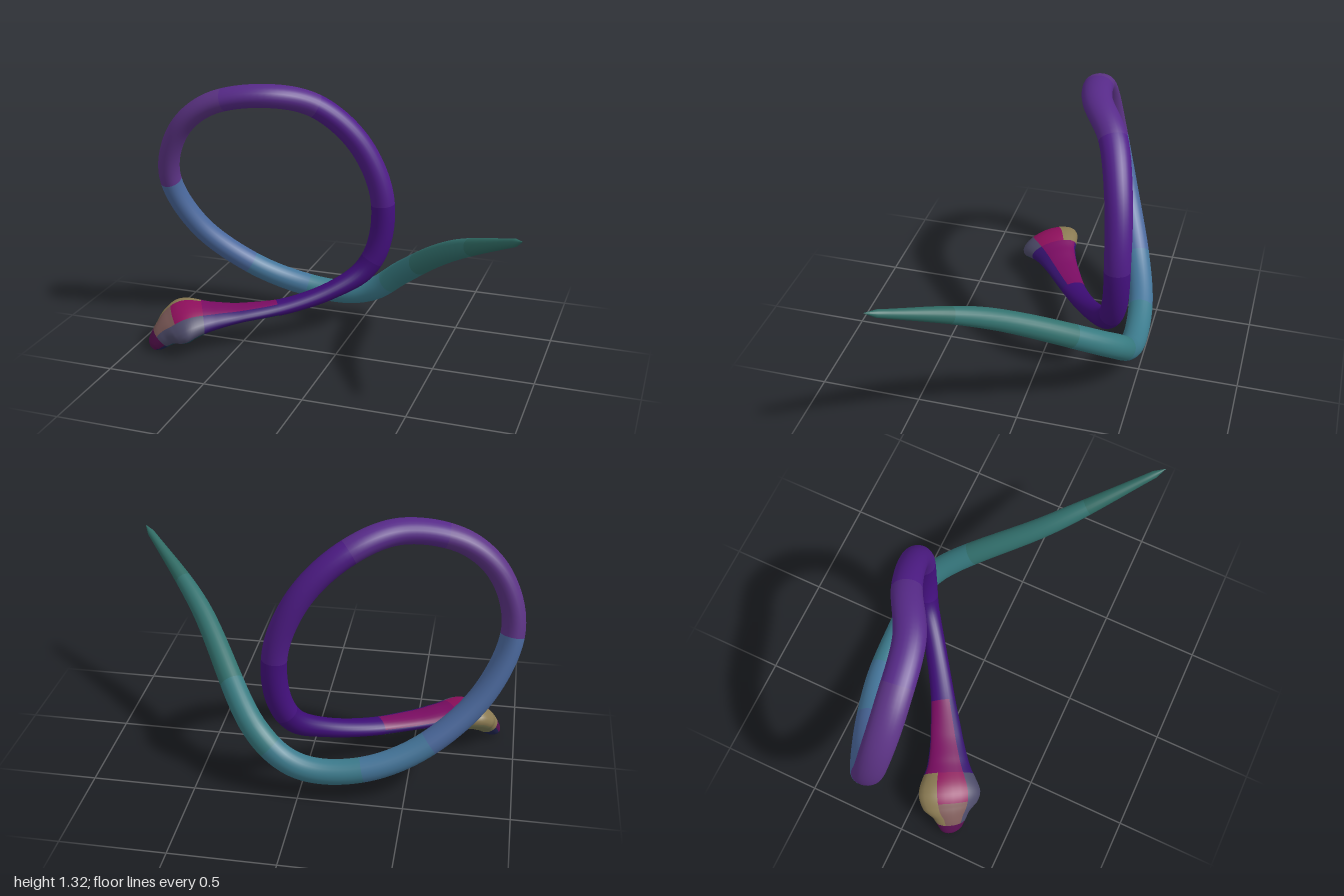
import * as THREE from 'three';

// Body centre line from tail tip round the coil
const BODY = [
  [0.985, 0.925, 0.51], [0.6, 0.685, 0.1], [0.22, 0.325, -0.405], [0.06, 0.195, -0.455],
  [-0.1, 0.153, -0.46], [-0.35, 0.185, -0.435], [-0.6, 0.3, -0.36], [-0.84, 0.53, -0.24],
  [-0.946, 0.82, -0.142], [-0.87, 1.07, -0.105], [-0.7, 1.22, -0.108], [-0.42, 1.273, -0.16],
  [-0.2, 1.21, -0.285], [0, 1.02, -0.36], [0.115, 0.75, -0.39], [0.108, 0.49, -0.383],
];
// Neck and head: centre, half width, half height
const HEAD = [
  [0.04, 0.345, -0.34, 0.058, 0.057], [-0.1, 0.255, -0.235, 0.054, 0.045],
  [-0.3, 0.195, -0.1, 0.06, 0.038], [-0.5, 0.18, 0.02, 0.082, 0.036],
  [-0.62, 0.175, 0.088, 0.106, 0.05], [-0.745, 0.165, 0.155, 0.158, 0.072],
  [-0.8, 0.135, 0.182, 0.143, 0.067], [-0.84, 0.1, 0.204, 0.092, 0.058],
  [-0.885, 0.045, 0.226, 0.058, 0.04], [-0.897, 0.02, 0.234, 0.03, 0.018],
];
const STEPS = 10, SIDES = 24;

// Body section: tapered tail, flattened a little over the coil
function bodyGirth(s) {
  const taper = Math.min(1, 0.25 + 0.55 * s);
  const wide = 0.062 + 0.014 * Math.exp(-(((s - 10) / 2.8) ** 2));
  const thin = 0.061 - 0.007 * Math.exp(-(((s - 8.5) / 3) ** 2));
  return new THREE.Vector3(wide * taper, thin * taper, 0);
}

// Plain colour bands along the body: end station, name, color
const BANDS = [
  [0.7, 'tailTip', 0x2f6a63], [1.6, 'tail', 0x33726f], [2.5, 'tailBase', 0x377a80],
  [4.8, 'lowerCoil', 0x3c7b8d], [6, 'blueCoil', 0x44759a], [7.9, 'sideCoil', 0x4a689c],
  [10.3, 'upperCoil', 0x5c3385], [12, 'topCoil', 0x572a89], [14.2, 'fallingCoil', 0x4f1c88],
  [15.6, 'lowerFallingCoil', 0x43107d], [18.2, 'neckBase', 0x3c0c74],
];

// The neck and head also change colour around their girth
function zoneOf(s, a) {
  for (const [end, name, color] of BANDS) if (s < end) return [name, color];
  const up = Math.sin(a), side = Math.cos(a);
  if (s < 20.4) {
    if (up < -0.45) return ['neckUnderside', 0x2f6040];
    if (up > 0.35 && side < 0.55) return ['neckTop', 0x7a0c62];
    return ['neckSide', 0x35126e];
  }
  if (s > 23.4) return up > 0 ? ['snout', 0x57104f] : ['chin', 0x1f2450];
  if (up < -0.3) return side < 0 ? ['rightJaw', 0x7a7a55] : ['leftJaw', 0x1f4a58];
  if (side > 0.45) return ['leftCheek', 0x4c4a68];
  if (side < -0.6) return ['rightCheek', 0x8a7a52];
  return s < 21.6 ? ['crown', 0x8e0f5c] : ['brow', 0x7d5a58];
}

export function createModel() {
  const group = new THREE.Group();
  group.name = 'snake';
  const path = new THREE.CatmullRomCurve3([...BODY, ...HEAD].map(([x, y, z]) => new THREE.Vector3(x, y, z)));
  const girth = new THREE.CatmullRomCurve3([
    ...BODY.map((_, s) => bodyGirth(s)),
    ...HEAD.map(([, , , w, h]) => new THREE.Vector3(w, h, 0)),
  ], false, 'catmullrom', 0.4);
  const rings = (BODY.length + HEAD.length - 1) * STEPS;
  const bodySide = new THREE.Vector3(0.3, 0, 1).normalize();
  const headSide = new THREE.Vector3(0.6, -0.2, 0.78).normalize();
  const positions = [];

  // Elliptical rings along the path, closed at both ends, the head rolled slightly
  for (let i = 0; i <= rings; i++) {
    const t = i / rings, centre = path.getPoint(t), dir = path.getTangent(t);
    const size = girth.getPoint(t).multiplyScalar(i === 0 || i === rings ? 0.05 : 1);
    const roll = THREE.MathUtils.smoothstep(i / STEPS, 17.5, 21);
    const lat = bodySide.clone().lerp(headSide, roll);
    lat.addScaledVector(dir, -lat.dot(dir)).normalize();
    const up = dir.clone().cross(lat);
    for (let j = 0; j < SIDES; j++) {
      const a = (j / SIDES) * Math.PI * 2;
      const p = centre.clone()
        .addScaledVector(lat, size.x * Math.cos(a))
        .addScaledVector(up, size.y * Math.sin(a));
      positions.push(p.x, Math.max(p.y, 0), p.z);
    }
  }

  // Faces, sorted into their colour zones
  const zones = new Map(), all = [];
  for (let i = 0; i < rings; i++) {
    for (let j = 0; j < SIDES; j++) {
      const a = i * SIDES + j, b = i * SIDES + ((j + 1) % SIDES), c = a + SIDES, d = b + SIDES;
      const [name, color] = zoneOf((i + 0.5) / STEPS, ((j + 0.5) / SIDES) * Math.PI * 2);
      if (!zones.has(name)) zones.set(name, { color, index: [] });
      const faces = [a, b, c, b, d, c];
      zones.get(name).index.push(...faces);
      all.push(...faces);
    }
  }

  // Shared normals keep the skin smooth across zones
  const skin = new THREE.BufferGeometry();
  skin.setAttribute('position', new THREE.Float32BufferAttribute(positions, 3));
  skin.setIndex(all);
  skin.computeVertexNormals();
  for (const [name, { color, index }] of zones) {
    const geo = skin.clone().setIndex(index);
    const mesh = new THREE.Mesh(geo, new THREE.MeshStandardMaterial({ color }));
    mesh.name = name;
    group.add(mesh);
  }
  return group;
}
